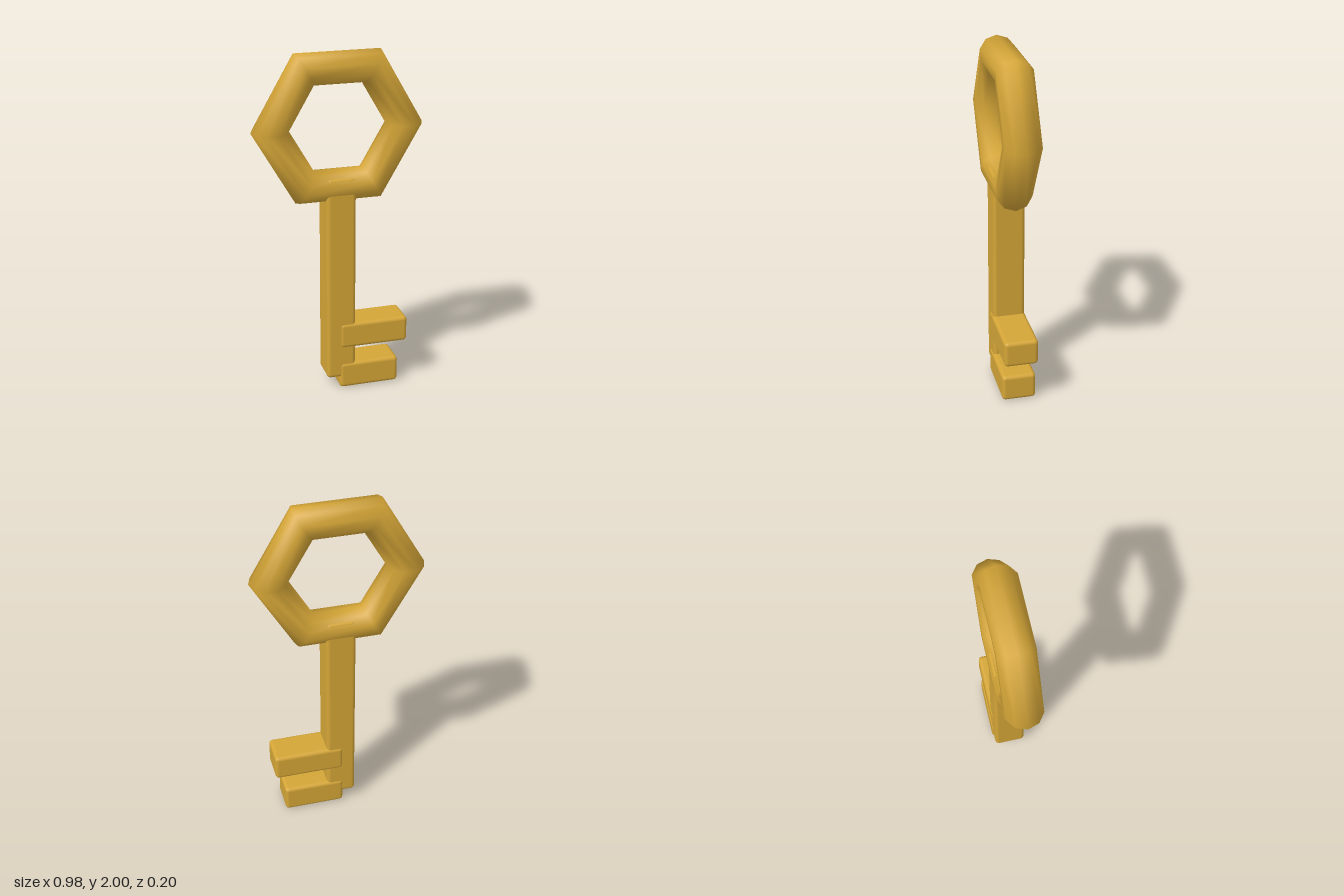
import * as THREE from 'three';
import { RoundedBoxGeometry } from 'three/addons/geometries/RoundedBoxGeometry.js';

export function createModel() {
  const key = new THREE.Group();
  key.name = 'key';
  const gold = new THREE.MeshStandardMaterial({ color: 0xd4a537 });
  gold.name = 'gold';

  const add = (name, geometry, x, y) => {
    const mesh = new THREE.Mesh(geometry, gold);
    mesh.name = name;
    mesh.position.set(x, y, 0);
    key.add(mesh);
  };

  // Softly bevelled bar given by its edges in x and y and its depth
  const addBar = (name, x0, x1, y0, y1, depth) =>
    add(name, new RoundedBoxGeometry(x1 - x0, y1 - y0, depth, 3, 0.022), (x0 + x1) / 2, (y0 + y1) / 2);

  // Six-sided handle ring with a smooth tube
  add('bow', new THREE.TorusGeometry(0.384, 0.106, 10, 6), 0, 1.576);

  // Shaft running up into the ring
  addBar('shaft', -0.085, 0.085, 0.068, 1.3, 0.184);

  // Teeth on the model's left
  addBar('upperTooth', -0.01, 0.4, 0.257, 0.412, 0.196);
  addBar('lowerTooth', -0.01, 0.345, 0, 0.158, 0.196);

  return key;
}
